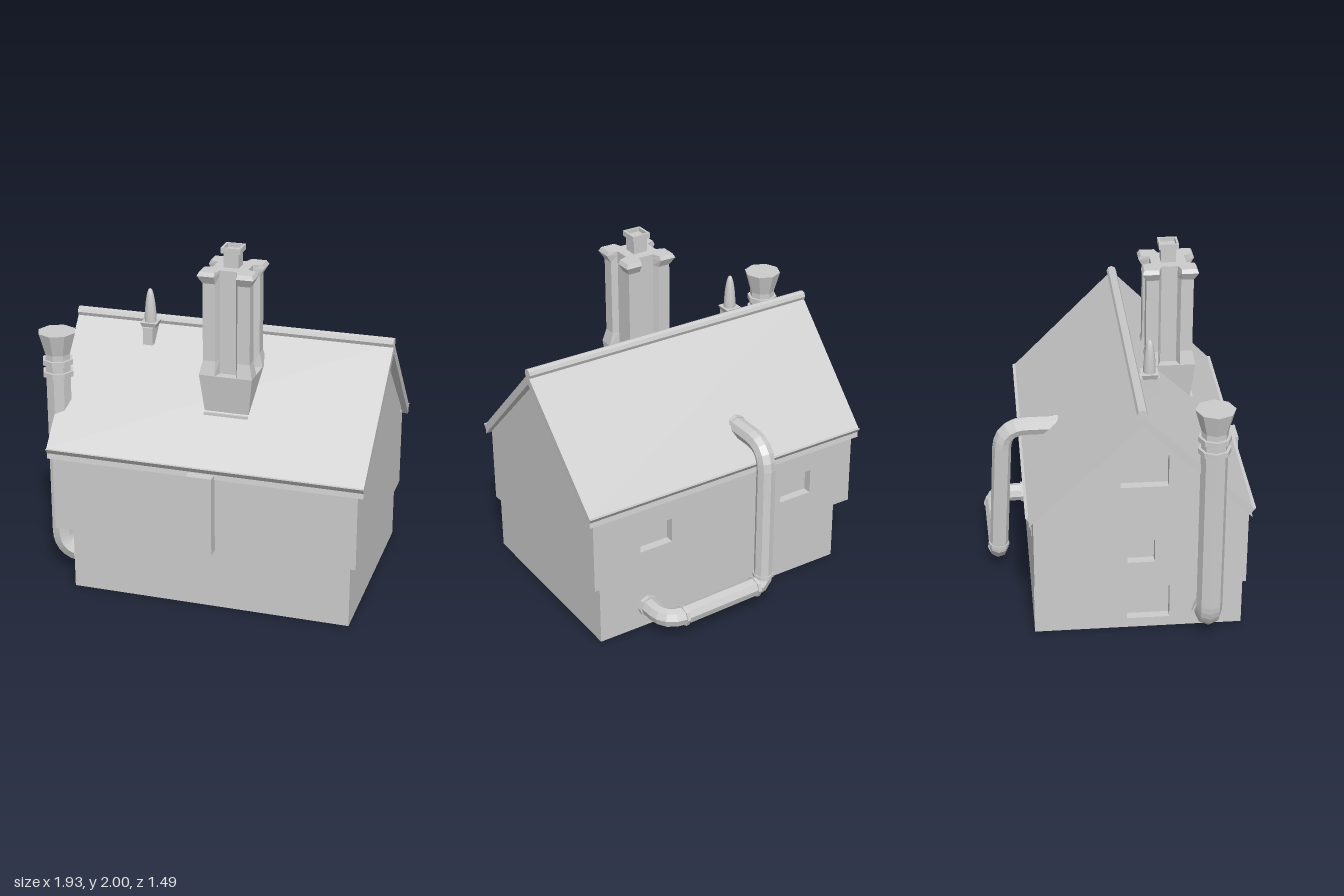
import * as THREE from 'three';

const mat = new THREE.MeshStandardMaterial({ color: 0xcccccc, flatShading: true });
const smoothMat = new THREE.MeshStandardMaterial({ color: 0xcccccc });
const V = (x, y, z) => new THREE.Vector3(x, y, z);
const RIDGE_Z = 0.09;

export function createModel() {
  const house = new THREE.Group();
  house.name = 'house';

  const add = (name, geo, parent = house, material = mat) => {
    const m = new THREE.Mesh(geo, material);
    m.name = name;
    parent.add(m);
    return m;
  };
  const group = (name) => {
    const g = new THREE.Group();
    g.name = name;
    house.add(g);
    return g;
  };
  // Box given by its limits on each axis
  const box = (x0, x1, y0, y1, z0, z1) =>
    new THREE.BoxGeometry(x1 - x0, y1 - y0, z1 - z0)
      .translate((x0 + x1) / 2, (y0 + y1) / 2, (z0 + z1) / 2);
  // Square tapered block: half widths at bottom and top
  const taper = (x, z, y0, y1, bottom, top) =>
    new THREE.CylinderGeometry(top * Math.SQRT2, bottom * Math.SQRT2, y1 - y0, 4)
      .rotateY(Math.PI / 4).translate(x, (y0 + y1) / 2, z);
  const polygon = (pts) => new THREE.Shape(pts.map(([a, b]) => new THREE.Vector2(a, b)));
  const rect = (a0, a1, b0, b1) => polygon([[a0, b0], [a1, b0], [a1, b1], [a0, b1]]);
  const extrude = (shape, depth) =>
    new THREE.ExtrudeGeometry(shape, { depth, bevelEnabled: false });
  // Extrude a (z, y) outline along x
  const extrudeX = (shape, x0, x1) =>
    extrude(shape, x1 - x0).rotateY(-Math.PI / 2).translate(x1, 0, 0);

  // Walls: solid cores with outer panels pierced by window recesses
  const walls = group('walls');
  const gable = (zBack) => polygon([
    [zBack, 0.35], [0.68, 0.35], [0.68, 1.395 - (0.68 - RIDGE_Z)],
    [RIDGE_Z, 1.395], [zBack, 1.395 - (RIDGE_Z - zBack)],
  ]);
  add('upperWalls', extrudeX(gable(-0.44), -0.78, 0.91), walls);
  const gablePanel = gable(-0.49);
  gablePanel.holes.push(rect(-0.02, 0.24, 0.99, 1.18), rect(0.02, 0.17, 0.51, 0.65));
  add('gableWall', extrudeX(gablePanel, -0.83, -0.78), walls);
  const backPanel = rect(-0.78, 0.91, 0.35, 0.82);
  backPanel.holes.push(rect(0.41, 0.615, 0.5, 0.65), rect(-0.54, -0.33, 0.5, 0.65));
  add('backWall', extrude(backPanel, 0.05).translate(0, 0, -0.49), walls);
  add('lowerWalls', box(-0.67, 0.88, 0, 0.35, -0.49, 0.68), walls);
  const lowerPanel = rect(-0.49, 0.68, 0, 0.35);
  lowerPanel.holes.push(rect(0.03, 0.27, 0.06, 0.27));
  add('lowerSideWall', extrudeX(lowerPanel, -0.72, -0.67), walls);
  add('frontButtress', box(-0.03, 0.115, 0.35, 0.81, 0.66, 0.745), walls);

  // Roof: folded slab with lipped eaves, slightly longer at the ridge
  const half = [[0.605, 0.845], [0.622, 0.845], [0.6, 0.815], [0.605, 0.785]];
  const roofShape = polygon([
    [RIDGE_Z, 1.45],
    ...half.map(([d, y]) => [RIDGE_Z + d, y]),
    [RIDGE_Z, 1.39],
    ...[...half].reverse().map(([d, y]) => [RIDGE_Z - d, y]),
  ]);
  const roof = extrudeX(roofShape, -0.9, 0.9);
  const p = roof.attributes.position;
  for (let i = 0; i < p.count; i++) {
    const flare = 0.018 * (p.getY(i) - 0.8) / 0.65;
    p.setX(i, 0.042 + p.getX(i) + Math.sign(p.getX(i)) * flare);
  }
  roof.computeVertexNormals();
  add('roof', roof);
  add('ridgeCap', new THREE.CylinderGeometry(0.029, 0.029, 1.835, 8)
    .rotateZ(Math.PI / 2).translate(0.042, 1.452, RIDGE_Z));

  // Chimney: tapered foot, shaft with a groove on each side, flared crown
  const chimney = group('chimney');
  const cx = 0.115, cz = 0.33;
  add('chimneyFoot', taper(cx, cz, 1.08, 1.3, 0.125, 0.15), chimney);
  add('chimneyRoot', box(cx - 0.125, cx + 0.125, 0.98, 1.08, cz - 0.125, cz + 0.145), chimney);
  const ring = (h) => {
    const pts = [];
    let side = [[-h, h], [-0.062, h], [-0.045, 0.098], [0.045, 0.098], [0.062, h]];
    for (let k = 0; k < 4; k++) {
      pts.push(...side);
      side = side.map(([x, z]) => [z, -x]);
    }
    return pts;
  };
  const levels = [[1.3, 0.15], [1.38, 0.132], [1.82, 0.132], [1.865, 0.157], [1.888, 0.145]];
  const pos = [], idx = [];
  levels.forEach(([y, h], r) => ring(h).forEach(([x, z], i) => {
    pos.push(cx + x, y, cz + z);
    if (r === 0) return;
    const n = 20, a = (r - 1) * n + i, b = (r - 1) * n + (i + 1) % n;
    idx.push(a, b, b + n, a, b + n, a + n);
  }));
  const shaft = new THREE.BufferGeometry();
  shaft.setAttribute('position', new THREE.Float32BufferAttribute(pos, 3));
  shaft.setIndex(idx);
  shaft.computeVertexNormals();
  add('chimneyShaft', shaft, chimney);
  add('chimneyTop', new THREE.ShapeGeometry(polygon(ring(0.145).map(([x, z]) => [x, -z])))
    .rotateX(-Math.PI / 2).translate(cx, 1.888, cz), chimney);
  add('chimneyPot', box(cx - 0.042, cx + 0.042, 1.88, 1.978, cz - 0.042, cz + 0.042), chimney);
  const rim = rect(-0.055, 0.055, -0.055, 0.055);
  rim.holes.push(rect(-0.043, 0.043, -0.043, 0.043));
  add('chimneyPotRim', extrude(rim, 0.03).rotateX(-Math.PI / 2).translate(cx, 1.97, cz), chimney);

  // Small roof vent with a bullet-shaped cap
  const vent = group('roofVent');
  const vx = -0.415, vz = 0.175;
  add('ventStem', box(vx - 0.029, vx + 0.029, 1.34, 1.44, vz - 0.055, vz + 0.055), vent);
  add('ventPlate', taper(vx, vz, 1.435, 1.465, 0.036, 0.048), vent);
  const bullet = [[0.034, 0], [0.034, 0.04], [0.028, 0.11], [0.02, 0.16], [0.011, 0.188], [0, 0.197]];
  add('ventCap', new THREE.LatheGeometry(bullet.map(([r, y]) => new THREE.Vector2(r, y)), 12)
    .translate(vx, 1.463, vz), vent, smoothMat);

  // Pipe through corner points, each corner rounded by its own radius
  const pipe = (name, pts, bends, radius, parent) => {
    const path = new THREE.CurvePath();
    let from = pts[0];
    bends.forEach((r, i) => {
      const c = pts[i + 1];
      const a = c.clone().add(pts[i].clone().sub(c).setLength(r));
      const b = c.clone().add(pts[i + 2].clone().sub(c).setLength(r));
      path.add(new THREE.LineCurve3(from, a));
      path.add(new THREE.QuadraticBezierCurve3(a, c, b));
      from = b;
    });
    path.add(new THREE.LineCurve3(from, pts[pts.length - 1]));
    add(name, new THREE.TubeGeometry(path, 48, radius, 8), parent);
  };
  // Octagonal band around a pipe, facing along a direction
  const collar = (name, at, dir, radius, length, parent) => {
    const m = add(name, new THREE.CylinderGeometry(radius, radius, length, 8), parent);
    m.position.copy(at);
    m.quaternion.setFromUnitVectors(V(0, 1, 0), dir.clone().normalize());
  };

  // Side stove pipe with funnel head
  const stove = group('sidePipe');
  const sx = -0.86, sz = 0.475;
  pipe('sidePipeTube', [V(sx, 1.35, sz), V(sx - 0.003, 0.125, sz), V(-0.68, 0.125, sz)],
    [0.13], 0.073, stove);
  add('sidePipeFunnel', new THREE.CylinderGeometry(0.108, 0.073, 0.125, 8)
    .translate(sx, 1.4, sz), stove);
  for (const y of [1.29, 1.22]) collar('sidePipeBand', V(sx, y, sz), V(0, 1, 0), 0.089, 0.03, stove);
  collar('sidePipeWallBand', V(-0.765, 0.125, sz), V(1, 0, 0), 0.084, 0.02, stove);

  // Back pipe from the roof slope down and into the back wall
  const drain = group('backPipe');
  pipe('backPipeTube', [
    V(-0.125, 1.0, -0.3), V(-0.125, 1.0, -0.625), V(-0.09, 0.135, -0.67),
    V(0.57, 0.135, -0.69), V(0.575, 0.135, -0.46),
  ], [0.14, 0.06, 0.12], 0.054, drain);
  collar('backPipeRoofBand', V(-0.125, 1.0, -0.325), V(0, 0, 1), 0.061, 0.03, drain);
  collar('backPipeWallBand', V(0.575, 0.135, -0.5), V(0, 0, 1), 0.064, 0.03, drain);
  collar('backPipeLowerBand', V(-0.092, 0.195, -0.668), V(-0.04, 1, 0.05), 0.061, 0.02, drain);
  collar('backPipeCornerBand', V(-0.03, 0.135, -0.672), V(1, 0, -0.03), 0.061, 0.02, drain);
  collar('backPipeBendBand', V(0.46, 0.135, -0.687), V(1, 0, -0.03), 0.06, 0.02, drain);

  return house;
}
